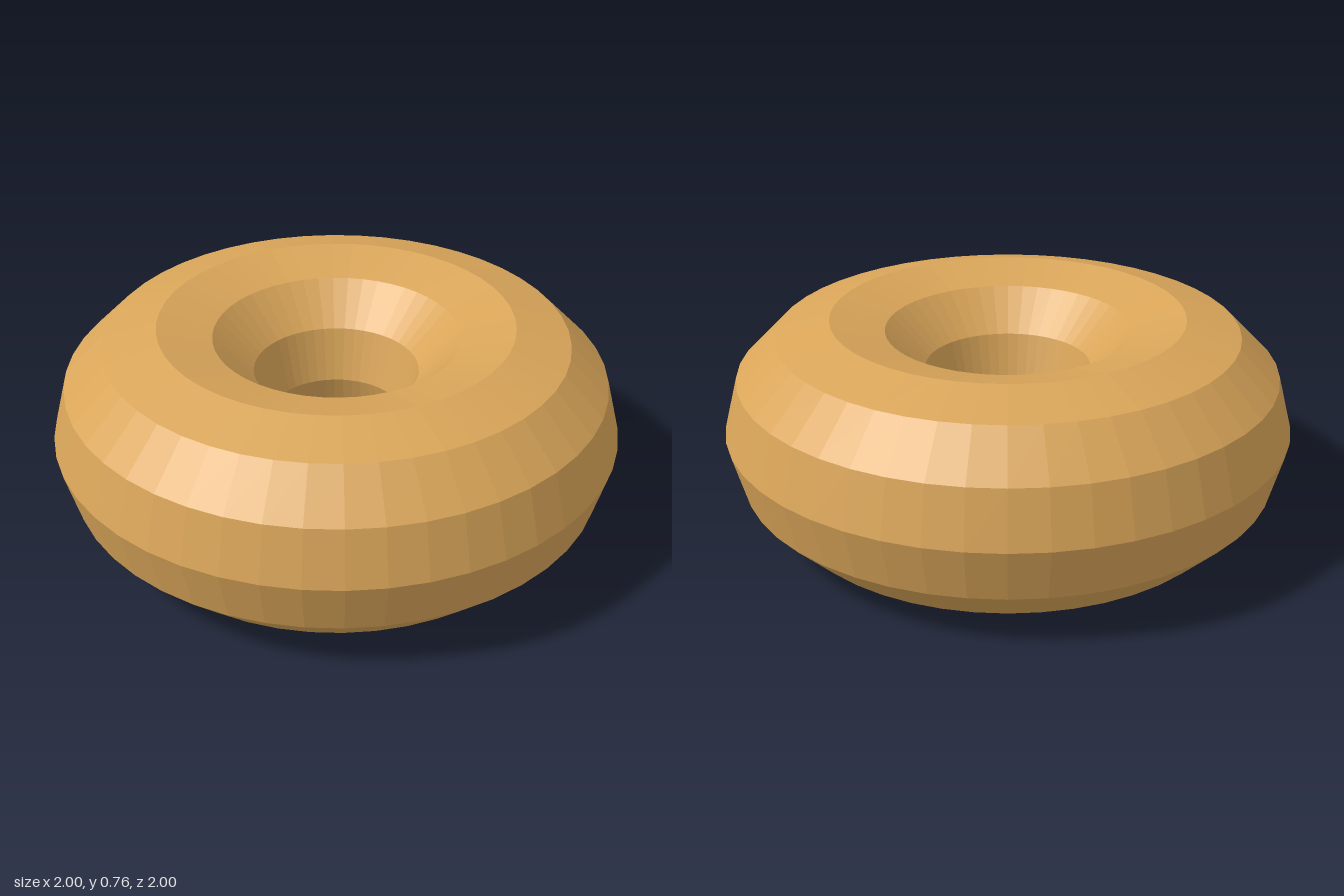
import * as THREE from 'three';

export function createModel() {
  const group = new THREE.Group();
  group.name = 'ringModel';

  // Faceted ring lying flat, resting on the ground
  const ringRadius = 0.62;
  const tubeRadius = 0.38;
  const geometry = new THREE.TorusGeometry(ringRadius, tubeRadius, 12, 48);
  geometry.rotateX(-Math.PI / 2);
  geometry.translate(0, tubeRadius, 0);

  const material = new THREE.MeshStandardMaterial({ color: 0xd9a559, flatShading: true });
  const ring = new THREE.Mesh(geometry, material);
  ring.name = 'ring';
  group.add(ring);

  return group;
}
